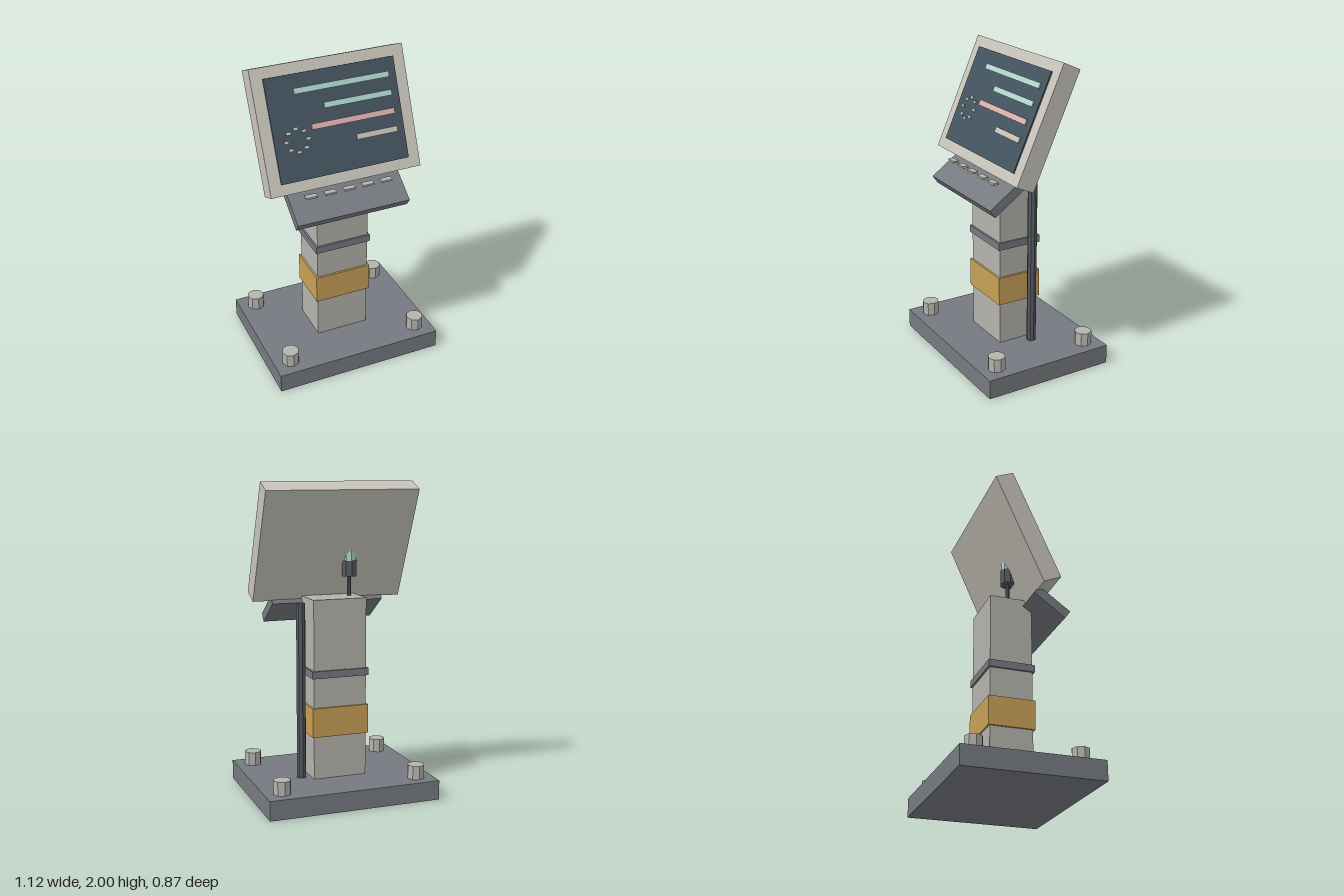
import * as THREE from 'three';

const mat = (name, color) => {
  const m = new THREE.MeshStandardMaterial({ color, flatShading: true });
  m.name = name;
  return m;
};

export function createModel() {
  const steel = mat('steel grey', 0x767a80);
  const stone = mat('stone grey', 0xb4b3ac);
  const shell = mat('warm light grey', 0xc8c4bb);
  const dark = mat('dark metal', 0x565a60);
  const amber = mat('amber', 0xc9a056);
  const glass = mat('dark slate', 0x44545f);
  const mint = mat('mint', 0xb0d8d0);
  const pink = mat('pink', 0xdfb0b0);

  const root = new THREE.Group();
  root.name = 'kiosk';

  const add = (parent, name, geometry, material, x, y, z) => {
    const mesh = new THREE.Mesh(geometry, material);
    mesh.name = name;
    mesh.position.set(x, y, z);
    parent.add(mesh);
    return mesh;
  };
  const box = (parent, name, material, w, h, d, x, y, z) =>
    add(parent, name, new THREE.BoxGeometry(w, h, d), material, x, y, z);
  // Upright cylinder given by its bottom and top heights
  const post = (name, material, r, y0, y1, x, z, sides = 8) =>
    add(root, name, new THREE.CylinderGeometry(r, r, y1 - y0, sides), material, x, (y0 + y1) / 2, z);

  // Base plate with a bolt in each corner
  box(root, 'basePlate', steel, 1.12, 0.125, 0.874, 0, 0.0625, 0);
  for (const x of [-0.448, 0.448])
    for (const z of [-0.324, 0.324]) post('bolt', stone, 0.056, 0.125, 0.213, x, z);

  // Column, its bands and the conduit beside it
  box(root, 'column', stone, 0.35, 1.15, 0.275, 0, 0.7, 0);
  box(root, 'amberBand', amber, 0.375, 0.1875, 0.3, 0, 0.495, 0);
  box(root, 'collar', steel, 0.375, 0.047, 0.3, 0, 0.803, 0);
  post('conduit', dark, 0.03, 0.125, 1.25, 0.235, -0.0625);

  // Beacon on the column top
  post('beaconStem', dark, 0.0135, 1.275, 1.4, -0.1125, 0);
  post('beaconSocket', dark, 0.05, 1.4, 1.5, -0.1125, 0);
  post('beaconLamp', mint, 0.0437, 1.5, 1.615, -0.1125, 0);

  // Tilted screen
  const screen = new THREE.Group();
  screen.name = 'screen';
  screen.position.set(0, 1.625, 0);
  screen.rotation.x = -0.42;
  root.add(screen);
  box(screen, 'screenHousing', shell, 0.994, 0.765, 0.125, 0, 0, 0);
  box(screen, 'display', glass, 0.845, 0.63, 0.009, 0, 0, 0.067);

  // Bars aligned to the right edge of the display
  const bars = [[-0.25, 0.2125, mint], [-0.075, 0.1, mint], [-0.175, -0.0125, pink], [0.1, -0.125, shell]];
  for (const [left, y, material] of bars)
    box(screen, 'displayBar', material, 0.3725 - left, 0.035, 0.009, (left + 0.3725) / 2, y, 0.0755);

  // Ring of small marks, counted from the bottom
  for (let i = 0; i < 8; i++) {
    const a = -Math.PI / 2 + (i * Math.PI) / 4;
    box(screen, 'ringMark', i % 3 === 0 ? pink : mint, 0.029, 0.018, 0.009,
      -0.278 + 0.07 * Math.cos(a), -0.075 + 0.07 * Math.sin(a), 0.0755);
  }

  // Sloping control shelf and its row of keys
  const shelf = box(root, 'controlShelf', steel, 0.747, 0.061, 0.25, 0, 1.186, 0.2);
  shelf.rotation.x = 0.61;
  for (let i = -2; i <= 2; i++)
    box(root, 'key', stone, 0.074, 0.0125, 0.037, i * 0.125, 1.265, 0.229);

  return root;
}
